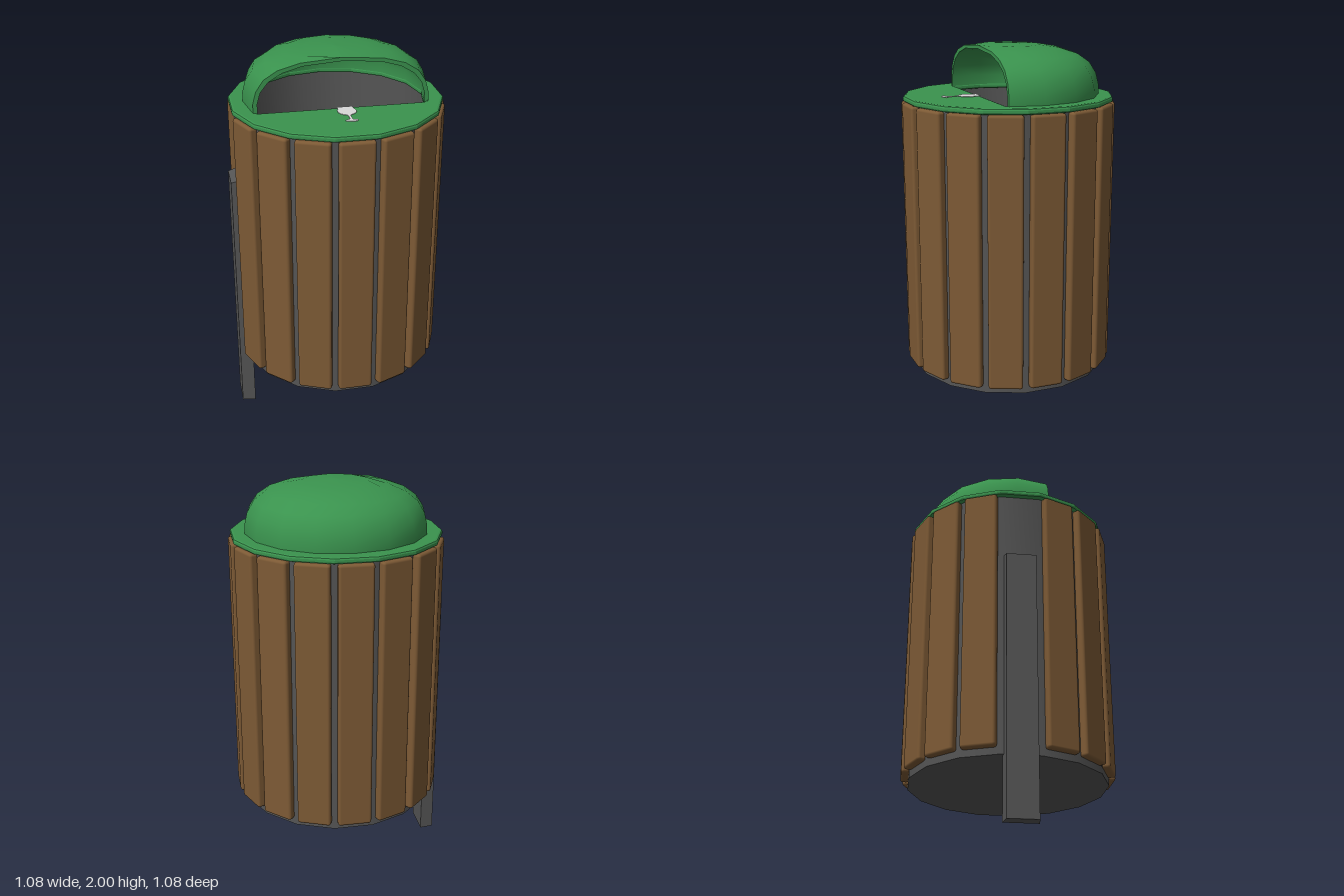
import * as THREE from 'three';
import { toCreasedNormals } from 'three/addons/utils/BufferGeometryUtils.js';
import { RoundedBoxGeometry } from 'three/addons/geometries/RoundedBoxGeometry.js';

const SIDES = 16;
const CUT = 0.163; // z of the hood's open front

// Hood profiles as [radius, height], from base to apex
const HOOD_OUTER = [[0.46, 1.74], [0.46, 1.79], [0.445, 1.85], [0.41, 1.905], [0.35, 1.947], [0.26, 1.977], [CUT, 1.993], [0, 2]];
const HOOD_INNER = [[0.44, 1.74], [0.44, 1.79], [0.425, 1.845], [0.39, 1.893], [0.33, 1.933], [0.25, 1.961], [CUT, 1.975], [0, 1.981]];

// Points of an arc of radius r that runs round the back and ends on the cut plane
function arc(r, steps = 10) {
  const a = Math.asin(Math.min(1, CUT / Math.max(r, CUT)));
  return Array.from({ length: steps + 1 }, (_, i) => {
    const t = a - (i / steps) * (Math.PI + 2 * a);
    return [r * Math.cos(t), r * Math.sin(t)];
  });
}

// Smooth dome surface through the arcs of a profile
function domeSheet(profile, inward) {
  const pos = [], index = [], n = 11;
  for (const [r, y] of profile) for (const [x, z] of arc(r)) pos.push(x, y, z);
  for (let j = 0; j < profile.length - 1; j++) {
    for (let i = 0; i < n - 1; i++) {
      const a = j * n + i, b = a + 1, c = b + n, d = a + n;
      if (inward) index.push(a, c, b, a, d, c);
      else index.push(a, b, c, a, c, d);
    }
  }
  const g = new THREE.BufferGeometry();
  g.setAttribute('position', new THREE.Float32BufferAttribute(pos, 3));
  g.setIndex(index);
  g.computeVertexNormals();
  return g;
}

// Right half of a hood profile where it meets the cut plane
const cutEdge = (profile) => profile.filter(([r]) => r >= CUT)
  .map(([r, y]) => new THREE.Vector2(Math.sqrt(r * r - CUT * CUT), y));

// Closed outline on both sides of x = 0
function archEdge(profile) {
  const right = cutEdge(profile);
  const left = right.slice(0, -1).reverse().map((p) => new THREE.Vector2(-p.x, p.y));
  return [...right, ...left];
}

export function createModel() {
  const mat = (name, color) => {
    const m = new THREE.MeshStandardMaterial({ color });
    m.name = name;
    return m;
  };
  const wood = mat('brown wood', 0x7d5a35);
  const green = mat('green', 0x3a934e);
  const metal = mat('dark grey metal', 0x555555);
  const white = mat('pale grey', 0xd8d8d8);

  const model = new THREE.Group();
  model.name = 'litterBin';
  const add = (name, geometry, material, parent = model) => {
    const m = new THREE.Mesh(geometry, material);
    m.name = name;
    parent.add(m);
    return m;
  };

  // Hollow drum, open at the top
  const drumProfile = [[0, 0.312], [0.508, 0.312], [0.508, 1.72], [0.48, 1.72], [0.48, 0.345], [0, 0.345]]
    .map(([x, y]) => new THREE.Vector2(x, y));
  const drum = new THREE.LatheGeometry(drumProfile, SIDES, Math.PI / SIDES);
  add('drum', toCreasedNormals(drum, 0.7), metal);

  // Wooden slats all round, except where the post stands
  const slats = new THREE.Group();
  slats.name = 'slats';
  model.add(slats);
  const slatGeometry = new RoundedBoxGeometry(0.172, 1.37, 0.045, 2, 0.014);
  for (let i = 0; i < SIDES; i++) {
    if (i === 12) continue;
    const a = (i / SIDES) * Math.PI * 2;
    const slat = add('slat', slatGeometry, wood, slats);
    slat.position.set(0.515 * Math.sin(a), 1.03, 0.515 * Math.cos(a));
    slat.rotation.y = a;
  }

  // Post with chamfered outer edges
  const post = new THREE.BoxGeometry(0.07, 1.37, 0.17);
  const p = post.attributes.position;
  for (let i = 0; i < p.count; i++) {
    if (p.getX(i) > 0) continue;
    p.setZ(i, p.getZ(i) * 0.88);
    if (p.getY(i) > 0) p.setY(i, p.getY(i) - 0.02);
  }
  post.computeVertexNormals();
  add('post', post, metal).position.set(-0.51, 0.685, 0);

  // Lid ring with an opening under the hood
  const lidShape = new THREE.Shape(Array.from({ length: SIDES }, (_, i) => {
    const a = ((i + 0.5) / SIDES) * Math.PI * 2;
    return new THREE.Vector2(0.535 * Math.cos(a), 0.535 * Math.sin(a));
  }));
  lidShape.holes.push(new THREE.Path(arc(0.44).map(([x, z]) => new THREE.Vector2(x, -z))));
  const lid = new THREE.ExtrudeGeometry(lidShape, {
    depth: 0.01, bevelThickness: 0.01, bevelSize: 0.012, bevelOffset: -0.012, bevelSegments: 2,
  });
  lid.rotateX(-Math.PI / 2);
  add('lid', lid, green).position.y = 1.725;

  // Hood: outer skin, inner skin and front rim
  const hood = new THREE.Group();
  hood.name = 'hood';
  model.add(hood);
  add('hoodOuter', domeSheet(HOOD_OUTER, false), green, hood);
  add('hoodInner', domeSheet(HOOD_INNER, true), green, hood);
  const rim = new THREE.Shape([...archEdge(HOOD_OUTER), ...archEdge(HOOD_INNER).reverse()]);
  add('hoodRim', new THREE.ShapeGeometry(rim), green, hood).position.z = CUT;

  // Painted drinking glass on the lid: half outline as [half width, z]
  const half = [[0.037, 0.165], [0.039, 0.195], [0.045, 0.205], [0.045, 0.235], [0.034, 0.257], [0.006, 0.276],
    [0.006, 0.327], [0.026, 0.332], [0.031, 0.341], [0.024, 0.352], [0.008, 0.356]];
  const glass = new THREE.Shape([
    ...half.map(([w, z]) => new THREE.Vector2(w, -z)),
    ...half.slice().reverse().map(([w, z]) => new THREE.Vector2(-w, -z)),
  ]);
  const glassGeometry = new THREE.ExtrudeGeometry(glass, { depth: 0.003, bevelEnabled: false });
  glassGeometry.rotateX(-Math.PI / 2);
  add('paintedGlass', glassGeometry, white).position.set(0.012, 1.7445, 0);

  return model;
}
